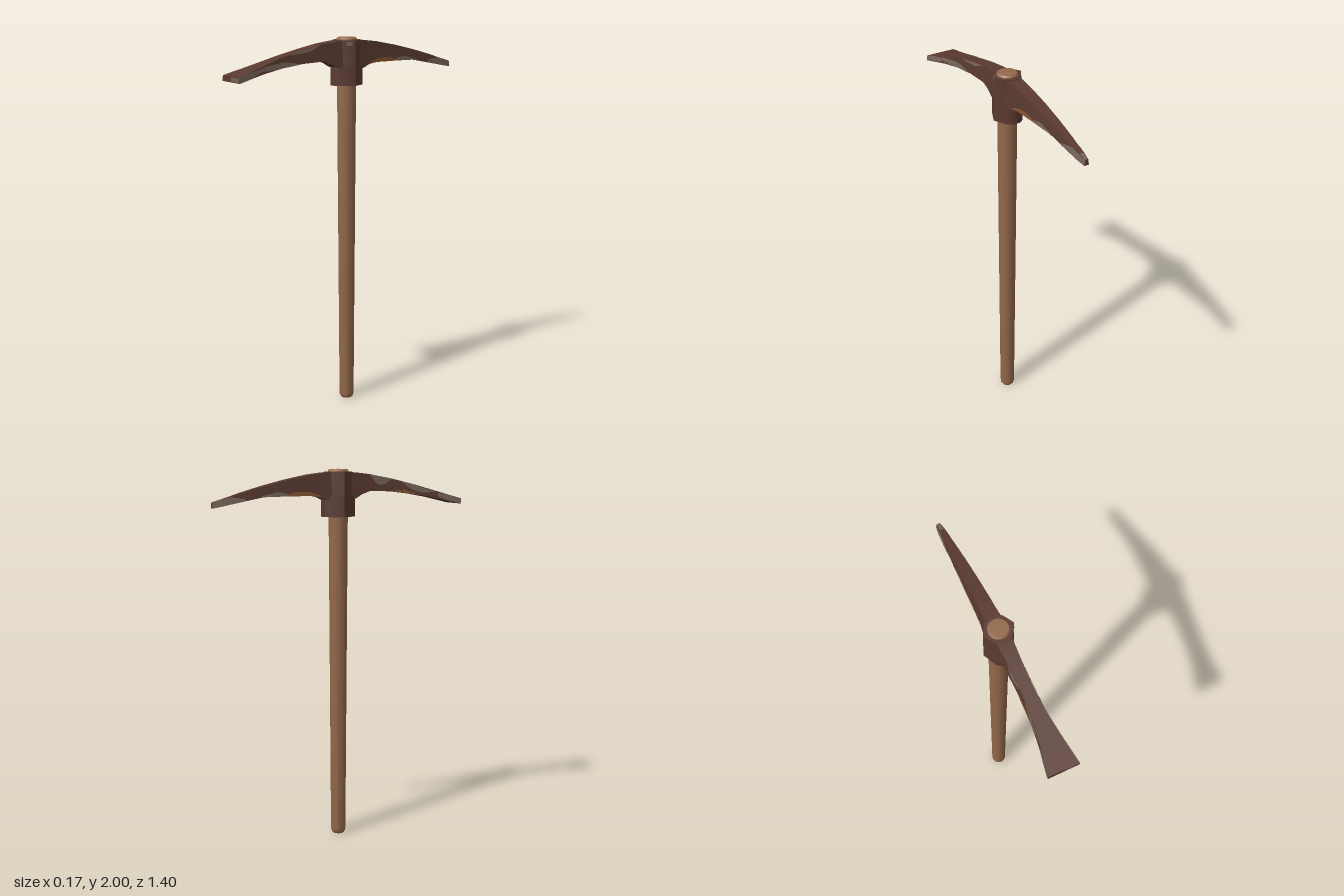
import * as THREE from 'three';
import { toCreasedNormals } from 'three/addons/utils/BufferGeometryUtils.js';

const mat = (name, color, side = THREE.FrontSide) => {
  const m = new THREE.MeshStandardMaterial({ color, side });
  m.name = name;
  return m;
};

// Arm stations: z, top y, bottom y, half width at top, half width at bottom
const PICK = [
  [-0.7, 1.836, 1.807, 0.007, 0.011],
  [-0.66, 1.848, 1.815, 0.013, 0.017],
  [-0.55, 1.882, 1.837, 0.02, 0.025],
  [-0.43, 1.915, 1.86, 0.026, 0.031],
  [-0.3, 1.946, 1.862, 0.031, 0.036],
  [-0.17, 1.971, 1.862, 0.035, 0.04],
  [-0.12, 1.977, 1.856, 0.036, 0.042],
  [-0.085, 1.981, 1.84, 0.038, 0.046],
  [0, 1.985, 1.82, 0.045, 0.055],
];
const ADZE = [
  [0, 1.985, 1.82, 0.045, 0.055],
  [0.085, 1.981, 1.846, 0.038, 0.046],
  [0.12, 1.977, 1.866, 0.036, 0.042],
  [0.17, 1.971, 1.883, 0.033, 0.04],
  [0.3, 1.946, 1.878, 0.031, 0.039],
  [0.43, 1.915, 1.862, 0.037, 0.043],
  [0.55, 1.88, 1.841, 0.053, 0.057],
  [0.7, 1.836, 1.807, 0.079, 0.081],
];

// Closed solid through four-cornered sections
function loft(stations) {
  const rings = stations.map(([z, t, b, wt, wb]) => [[-wb, b, z], [wb, b, z], [wt, t, z], [-wt, t, z]]);
  const pos = [];
  const quad = (a, b, c, d) => pos.push(...a, ...b, ...c, ...a, ...c, ...d);
  for (let i = 0; i < rings.length - 1; i++) {
    for (let j = 0; j < 4; j++) {
      const k = (j + 1) % 4;
      quad(rings[i][j], rings[i][k], rings[i + 1][k], rings[i + 1][j]);
    }
  }
  quad(...rings[rings.length - 1]);
  quad(...[...rings[0]].reverse());
  const g = new THREE.BufferGeometry();
  g.setAttribute('position', new THREE.Float32BufferAttribute(pos, 3));
  return toCreasedNormals(g, 0.6);
}

function stationAt(stations, z) {
  let i = 0;
  while (i < stations.length - 2 && z > stations[i + 1][0]) i++;
  const a = stations[i], b = stations[i + 1];
  const f = (z - a[0]) / (b[0] - a[0]);
  return a.map((v, n) => v + (b[n] - v) * f);
}

// Thin worn strip on an arm's side; low and high are heights (0 to 1) along it
function wornStrip(stations, side, z0, z1, low, high) {
  const n = 8, pos = [], idx = [];
  const sample = (list, f) => {
    const p = f * (list.length - 1), i = Math.min(Math.floor(p), list.length - 2);
    return THREE.MathUtils.lerp(list[i], list[i + 1], p - i);
  };
  for (let i = 0; i <= n; i++) {
    const f = i / n;
    const [z, t, b, wt, wb] = stationAt(stations, z0 + (z1 - z0) * f);
    for (const v of [sample(low, f), sample(high, f)]) {
      pos.push(side * (THREE.MathUtils.lerp(wb, wt, v) + 0.002), THREE.MathUtils.lerp(b, t, v), z);
    }
    if (i < n) idx.push(2 * i, 2 * i + 1, 2 * i + 3, 2 * i, 2 * i + 3, 2 * i + 2);
  }
  // Wind so that the strip faces outward on either side
  if (side > 0) for (let i = 0; i < idx.length; i += 3) [idx[i + 1], idx[i + 2]] = [idx[i + 2], idx[i + 1]];
  const g = new THREE.BufferGeometry();
  g.setAttribute('position', new THREE.Float32BufferAttribute(pos, 3));
  g.setIndex(idx);
  g.computeVertexNormals();
  return g;
}

export function createModel() {
  const root = new THREE.Group();
  root.name = 'pickaxe';
  const wood = mat('wood', 0x93694a);
  const rust = mat('rustyIron', 0x5a3a31);
  const worn = mat('wornIron', 0x75645a, THREE.DoubleSide);
  const orange = mat('orangeRust', 0x84542f, THREE.DoubleSide);
  const add = (name, geometry, material) => {
    const m = new THREE.Mesh(geometry, material);
    m.name = name;
    root.add(m);
    return m;
  };

  // Tapered handle, rounded at the foot
  const profile = [[0, 0], [0.03, 0], [0.038, 0.012], [0.04, 0.03], [0.051, 1.75], [0.055, 1.99], [0.048, 1.998], [0, 2]];
  const handle = new THREE.LatheGeometry(profile.map(([x, y]) => new THREE.Vector2(x, y)), 14);
  add('handle', toCreasedNormals(handle, 0.6), wood);

  // Collar around the handle, pointed at both cheeks
  const ring = [[0.08, 0], [0.047, 0.07], [0.022, 0.089], [-0.022, 0.089], [-0.047, 0.07],
    [-0.08, 0], [-0.047, -0.07], [-0.022, -0.089], [0.022, -0.089], [0.047, -0.07]];
  const shape = new THREE.Shape(ring.map(([x, y]) => new THREE.Vector2(x, y)));
  const collar = (y0, y1, g = new THREE.ExtrudeGeometry(shape, { depth: y1 - y0, bevelEnabled: false })) =>
    toCreasedNormals(g.rotateX(-Math.PI / 2).translate(0, y0, 0), 0.8);
  add('lowerCollar', collar(1.75, 1.86), rust);
  const upper = collar(1.86, 1.985);
  upper.scale(1, 1, 0.8);
  add('upperCollar', upper, rust);

  // Pointed arm behind, broad blade in front
  add('pickArm', loft(PICK), rust);
  add('adzeArm', loft(ADZE), rust);

  // Bare metal and rust on both sides of the arms
  for (const s of [1, -1]) {
    add('pickTipWear', wornStrip(PICK, s, -0.7, -0.53, [0, 0, 0], [1, 1, 0.25]), worn);
    add('pickEdgeWear', wornStrip(PICK, s, -0.45, -0.27, [0, 0, 0], [0.1, 0.35, 0.05]), worn);
    add('pickRust', wornStrip(PICK, s, -0.32, -0.11, [0, 0, 0], [0.05, 0.25, 0.2, 0.03]), orange);
    add('adzeTipWear', wornStrip(ADZE, s, 0.57, 0.7, [0.3, 0, 0], [0.8, 1, 1]), worn);
  }
  add('adzeUpperWear', wornStrip(ADZE, 1, 0.2, 0.38, [0.95, 0.75, 0.8, 0.95], [1, 1, 1, 1]), worn);
  add('adzeLowerWear', wornStrip(ADZE, 1, 0.33, 0.57, [0, 0, 0.1, 0.4], [0.1, 0.5, 0.7, 0.9]), worn);
  add('adzeUpperWear', wornStrip(ADZE, -1, 0.17, 0.3, [0.95, 0.4, 0.5, 0.95], [1, 1, 1, 1]), worn);
  add('adzeLowerWear', wornStrip(ADZE, -1, 0.36, 0.55, [0.9, 0.4, 0.3, 0.8], [1, 1, 0.9, 0.9]), worn);
  add('adzeRust', wornStrip(ADZE, -1, 0.3, 0.45, [0, 0, 0], [0.05, 0.3, 0.05]), orange);

  // Worn strips at the very tips and on the collar's upper edge
  const edge = add('bladeEdgeWear', new THREE.BoxGeometry(0.075, 0.02, 0.004), worn);
  edge.position.set(0.04, 1.822, 0.699);
  const tip = add('pointTopWear', new THREE.BoxGeometry(0.018, 0.003, 0.045), worn);
  tip.position.set(0, 1.843, -0.677);
  tip.rotation.x = -0.291;
  const nick = add('collarWear', new THREE.BoxGeometry(0.004, 0.02, 0.03), worn);
  nick.position.set(0.064, 1.968, 0.027);
  nick.rotation.y = -0.53;
  return root;
}
